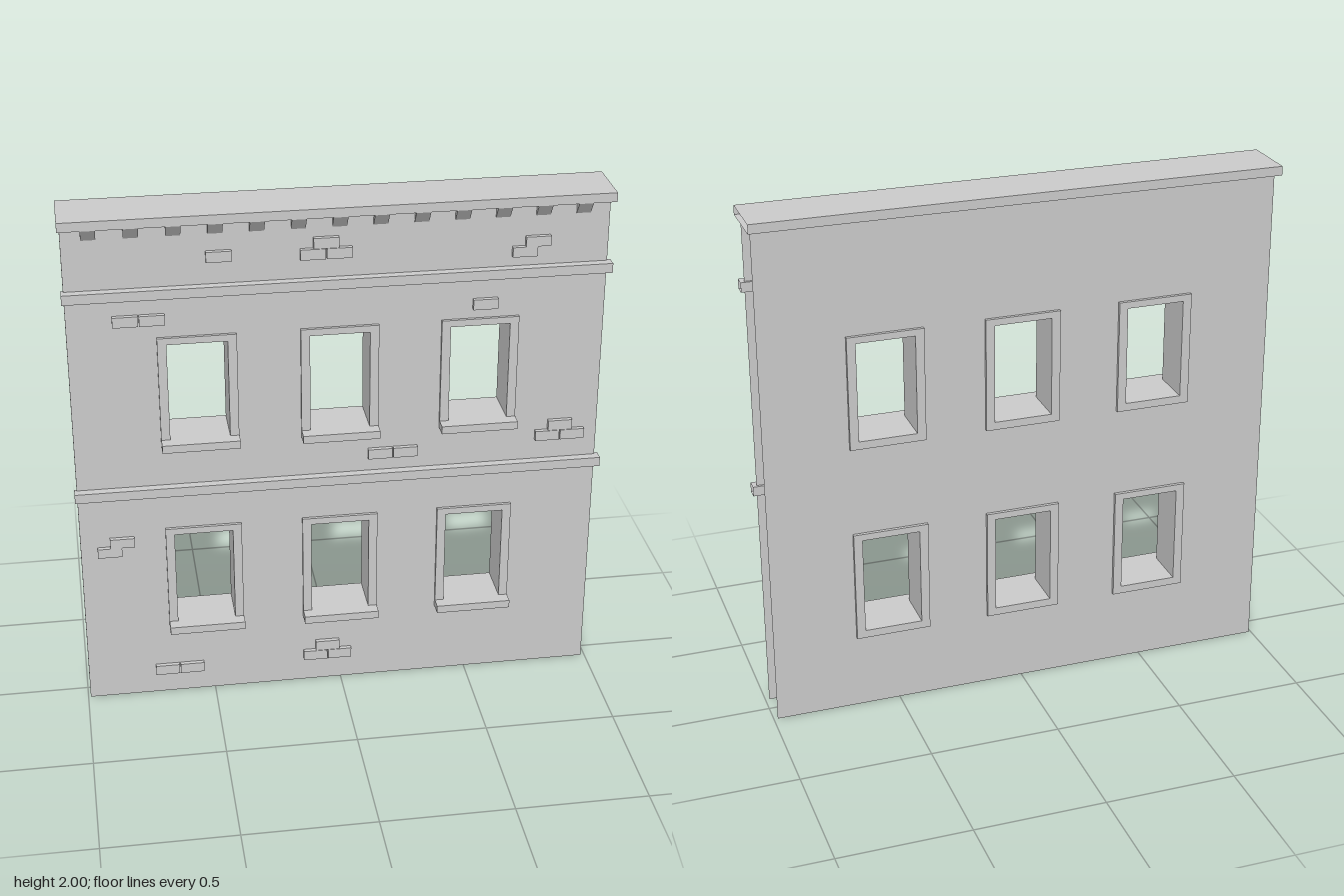
import * as THREE from 'three';

const CX = -0.003; // wall centre line
const material = new THREE.MeshStandardMaterial({ color: 0xcccccc, side: THREE.DoubleSide, flatShading: true });

function add(parent, name, geometry, x = 0, y = 0, z = 0) {
  const mesh = new THREE.Mesh(geometry, material);
  mesh.name = name;
  mesh.position.set(x, y, z);
  parent.add(mesh);
  return mesh;
}

// Rectangle outline, usable as a shape or as a hole
function rect(x0, y0, x1, y1, Type = THREE.Shape) {
  return new Type([[x0, y0], [x1, y0], [x1, y1], [x0, y1]].map(p => new THREE.Vector2(...p)));
}

// Horizontal moulding along x with open ends
function openBeam(parent, name, y0, y1, z0, z1) {
  const h = y1 - y0, d = z1 - z0, beam = new THREE.Group();
  beam.name = name;
  beam.position.set(0, (y0 + y1) / 2, (z0 + z1) / 2);
  for (let i = 0; i < 4; i++) {
    const across = i % 2 ? d : h, out = i % 2 ? h : d;
    const side = new THREE.PlaneGeometry(2, across).translate(0, 0, out / 2).rotateX(i * Math.PI / 2);
    add(beam, name + 'Face', side);
  }
  parent.add(beam);
}

export function createModel() {
  const model = new THREE.Group();
  model.name = 'facade';

  // Window positions: lower-edge heights by column centres
  const windows = [];
  for (const y of [0.296, 1.087]) for (const i of [-1, 0, 1]) windows.push([CX + i * 0.522, y]);

  // Two thin wall sheets with window openings
  const wall = rect(CX - 0.988, 0, CX + 0.988, 1.965);
  for (const [x, y] of windows) wall.holes.push(rect(x - 0.125, y + 0.015, x + 0.125, y + 0.43, THREE.Path));
  const wallGeometry = new THREE.ShapeGeometry(wall);
  add(model, 'frontWall', wallGeometry, 0, 0, 0.065);
  add(model, 'backWall', wallGeometry.clone().scale(-1, 1, 1).rotateY(0).translate(2 * CX, 0, 0), 0, 0, -0.08);

  // Deep window frames with projecting sills
  const frame = rect(-0.1445, 0, 0.1445, 0.442);
  frame.holes.push(rect(-0.111, 0.031, 0.111, 0.416, THREE.Path));
  const frameGeometry = new THREE.ExtrudeGeometry(frame, { depth: 0.17, bevelEnabled: false });
  const sillGeometry = new THREE.BoxGeometry(0.289, 0.031, 0.0545);
  for (const [x, y] of windows) {
    add(model, 'windowFrame', frameGeometry, x, y, -0.093);
    add(model, 'windowSill', sillGeometry, x, y + 0.0155, 0.09725);
  }

  // Roof slab and the two string courses
  openBeam(model, 'roofSlab', 1.965, 2, -0.125, 0.098);
  openBeam(model, 'upperStringCourse', 1.69, 1.727, 0.055, 0.098);
  openBeam(model, 'lowerStringCourse', 0.888, 0.925, 0.055, 0.098);

  // Wedge brackets beneath the roof
  const wedge = new THREE.Shape([[0, 0], [0, -0.06], [0.042, 0]].map(p => new THREE.Vector2(...p)));
  const wedgeGeometry = new THREE.ExtrudeGeometry(wedge, { depth: 0.053, bevelEnabled: false })
    .translate(0, 0, -0.0265).rotateY(-Math.PI / 2);
  for (let i = -6; i <= 6; i++) add(model, 'roofBracket', wedgeGeometry, CX + i * 0.1483, 1.965, 0.056);

  // Raised bricks: single, side-by-side pair, stepped pair and three-brick stack
  const patterns = {
    single: [[0, 0]],
    pair: [[-0.048, 0], [0.048, 0]],
    stack: [[-0.048, 0], [0.048, 0], [0, 0.0415]],
  };
  const clusters = [
    ['single', -0.438, 1.834], ['single', 0.535, 1.587],
    ['pair', -0.732, 1.603], ['pair', 0.198, 0.999], ['pair', -0.636, 0.107],
    ['stack', -0.053, 1.822], ['stack', 0.84, 1.027], ['stack', -0.053, 0.118],
  ];
  const brickGeometry = new THREE.BoxGeometry(0.092, 0.04, 0.026);
  for (const [kind, x, y] of clusters)
    for (const [dx, dy] of patterns[kind]) add(model, 'raisedBrick', brickGeometry, x + dx, y + dy, 0.069);

  // Stepped pairs are one joined outline
  const step = new THREE.Shape([[-0.07, -0.038], [0.022, -0.038], [0.022, 0], [0.07, 0], [0.07, 0.038],
    [-0.022, 0.038], [-0.022, 0], [-0.07, 0]].map(p => new THREE.Vector2(...p)));
  const stepGeometry = new THREE.ExtrudeGeometry(step, { depth: 0.026, bevelEnabled: false });
  for (const [x, y] of [[0.698, 1.804], [-0.858, 0.674]]) add(model, 'steppedBricks', stepGeometry, x, y, 0.056);

  return model;
}
